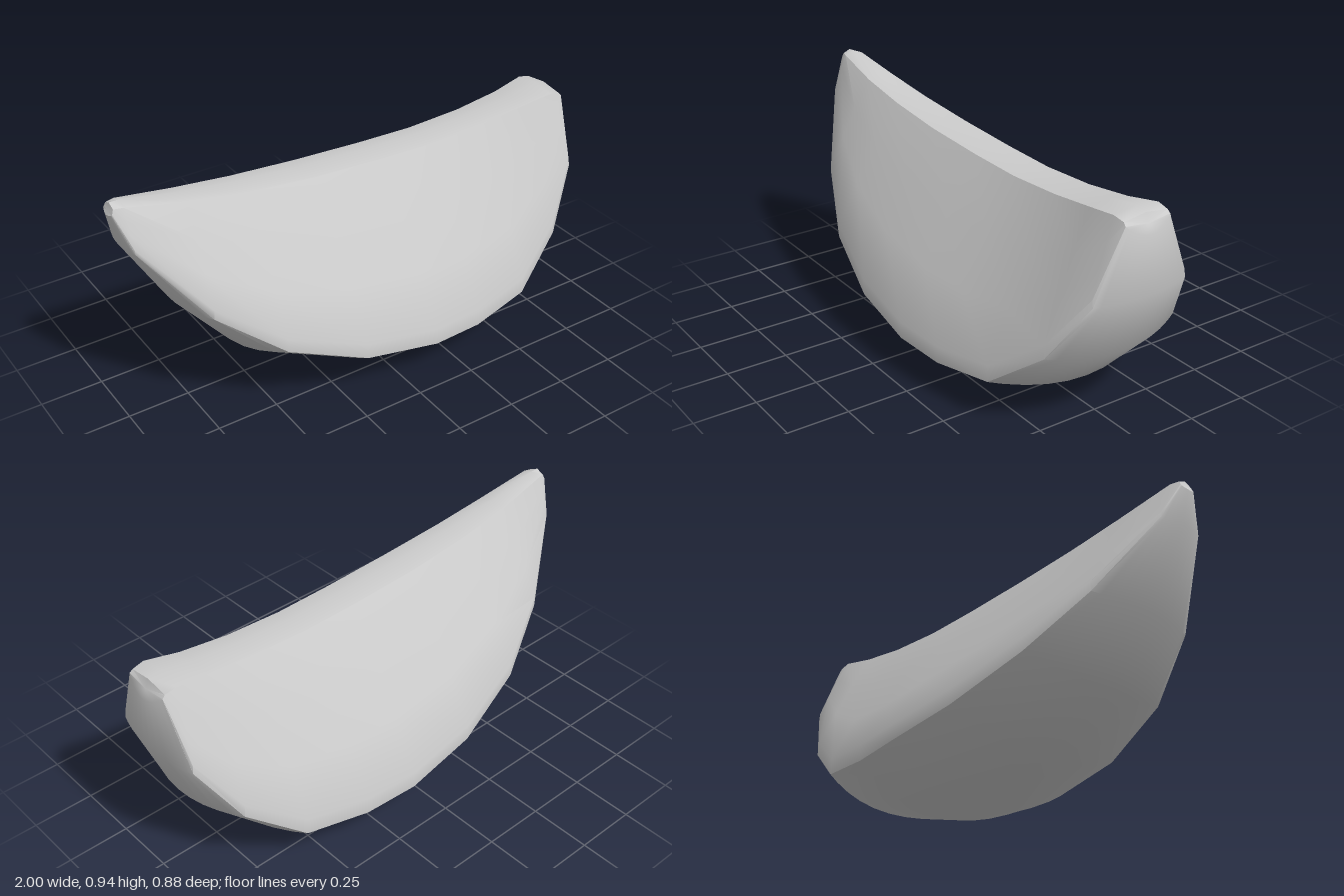
import * as THREE from 'three';
import { toCreasedNormals } from 'three/addons/utils/BufferGeometryUtils.js';

// Stations along the wedge: top edge [x,y,z], outer rim [x,y,z], keel of the peel [x,y]
const STATIONS = [
  [[-0.985, 0.93, 0.03], [-0.993, 0.91, 0.035], [-1, 0.9]],
  [[-0.95, 0.93, 0.04], [-0.95, 0.77, 0.1], [-0.97, 0.77]],
  [[-0.72, 0.885, 0.06], [-0.74, 0.5, 0.25], [-0.8, 0.48]],
  [[-0.48, 0.852, 0.07], [-0.5, 0.32, 0.355], [-0.6, 0.24]],
  [[-0.2, 0.827, 0.077], [-0.19, 0.2, 0.42], [-0.25, 0.085]],
  [[0.1, 0.812, 0.078], [0.12, 0.15, 0.44], [0.14, 0]],
  [[0.34, 0.806, 0.078], [0.34, 0.14, 0.42], [0.4, 0.03]],
  [[0.58, 0.818, 0.078], [0.6, 0.17, 0.375], [0.7, 0.12]],
  [[0.78, 0.842, 0.083], [0.82, 0.34, 0.295], [0.9, 0.32]],
  [[0.92, 0.866, 0.098], [0.96, 0.57, 0.205], [0.995, 0.57]],
  [[0.968, 0.857, 0.095], [0.98, 0.845, 0.097], [1, 0.8]],
];
// Rows down each cut face: [fraction from edge to rim, outward bulge]
const FACE_ROWS = [[0, 0], [0.3, 0.025], [0.6, 0.028], [0.9, 0.035], [1, 0]];
// Rows across the peel, from near the rim to near the keel
const PEEL_ROWS = [0.86, 0.65, 0.44, 0.22];

// Closed cross-section: top centre, cut face, peel, keel, then the mirrored half
function section([edge, rim, keel]) {
  const e = new THREE.Vector3(...edge);
  const r = new THREE.Vector3(...rim);
  const k = new THREE.Vector3(keel[0], keel[1], 0);
  const half = [];
  for (const [t, bulge] of FACE_ROWS) {
    const p = e.clone().lerp(r, t);
    p.z += bulge * (r.z - e.z) / 0.36;
    half.push(p);
  }
  for (const s of PEEL_ROWS) {
    const p = k.clone().lerp(r, s * s);
    p.z = r.z * s;
    half.push(p);
  }
  const mirrored = half.map((p) => new THREE.Vector3(p.x, p.y, -p.z)).reverse();
  return [new THREE.Vector3(e.x, e.y + 0.013, 0), ...half, k, ...mirrored];
}

// Skins consecutive closed sections and closes both ends with fans
function loft(sections) {
  const n = sections[0].length;
  const last = sections.length - 1;
  const points = sections.flat();
  const index = [];
  for (let i = 0; i < last; i++) {
    for (let j = 0; j < n; j++) {
      const a = i * n + j;
      const b = i * n + (j + 1) % n;
      index.push(a, b, b + n, a, b + n, a + n);
    }
  }
  for (const end of [0, last]) {
    const centre = new THREE.Vector3();
    sections[end].forEach((p) => centre.addScaledVector(p, 1 / n));
    const c = points.push(centre) - 1;
    for (let j = 0; j < n; j++) {
      const a = end * n + j;
      const b = end * n + (j + 1) % n;
      if (end === 0) index.push(c, b, a);
      else index.push(c, a, b);
    }
  }
  const geometry = new THREE.BufferGeometry().setFromPoints(points);
  geometry.setIndex(index);
  return geometry;
}

export function createModel() {
  const group = new THREE.Group();
  group.name = 'fruitWedge';
  const material = new THREE.MeshStandardMaterial({ color: 0xcccccc });
  const wedge = new THREE.Mesh(toCreasedNormals(loft(STATIONS.map(section)), 0.68), material);
  wedge.name = 'wedge';
  group.add(wedge);
  return group;
}
